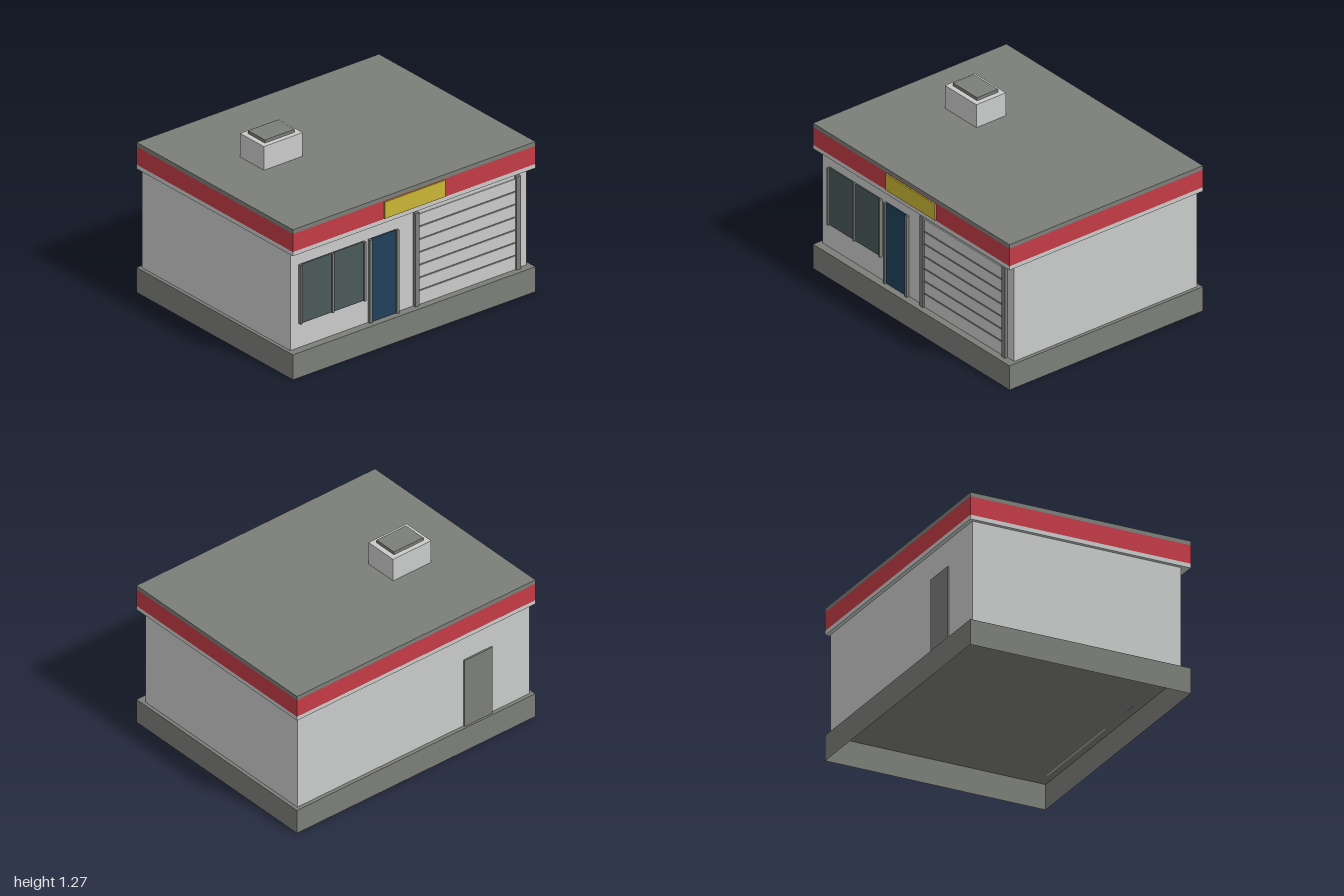
import * as THREE from 'three';

const paint = (name, color, extra = {}) => {
  const m = new THREE.MeshStandardMaterial({ color, ...extra });
  m.name = name;
  return m;
};

export function createModel() {
  const grey = paint('trim grey', 0x7c7e79, { side: THREE.DoubleSide });
  const light = paint('wall light grey', 0xc9cbca);
  const red = paint('fascia red', 0xc43b46);
  const yellow = paint('sign yellow', 0xcab535);
  const blue = paint('door blue', 0x21405b);
  const glass = paint('window glass', 0x4b5a59);

  const root = new THREE.Group();
  root.name = 'building';

  const group = (name) => {
    const g = new THREE.Group();
    g.name = name;
    root.add(g);
    return g;
  };

  // Box given by its [min, max] on each axis; open drops the underside
  const box = (parent, name, material, [x0, x1], [y0, y1], [z0, z1], open = false) => {
    const geo = new THREE.BoxGeometry(x1 - x0, y1 - y0, z1 - z0);
    if (open) {
      const index = Array.from(geo.index.array);
      index.splice(18, 6);
      geo.setIndex(index);
      geo.clearGroups();
    }
    const mesh = new THREE.Mesh(geo, material);
    mesh.name = name;
    mesh.position.set((x0 + x1) / 2, (y0 + y1) / 2, (z0 + z1) / 2);
    parent.add(mesh);
    return mesh;
  };

  const full = [-1, 1], depth = [-0.805, 0.795];
  const front = 0.737, back = -0.778;

  // Hollow plinth and walls
  box(root, 'plinth', grey, full, [0, 0.18], depth, true);
  box(root, 'walls', light, [-0.975, 0.975], [0.18, 0.89], [back, front], true);

  // Layered roof edge with sign board
  const roof = group('roof');
  box(roof, 'soffitBand', light, full, [0.89, 0.92], depth);
  box(roof, 'fascia', red, full, [0.92, 1.05], depth, true);
  box(roof, 'roofSlab', grey, full, [1.05, 1.08], depth, true);
  box(roof, 'signBoard', yellow, [-0.25, 0.25], [0.925, 1.045], [0.795, 0.805]);

  // Rooftop vent
  const vent = group('roofVent');
  box(vent, 'ventBody', light, [-0.613, -0.293], [1.08, 1.25], [-0.226, 0.018], true);
  box(vent, 'ventCap', grey, [-0.576, -0.33], [1.25, 1.272], [-0.191, -0.018], true);

  // Window with three upright bars
  const win = group('window');
  box(win, 'windowGlass', glass, [-0.9, -0.372], [0.353, 0.778], [front, 0.746]);
  for (const x of [-0.899, -0.636, -0.373])
    box(win, 'windowBar', grey, [x - 0.007, x + 0.007], [0.353, 0.778], [front, 0.759]);

  // Entrance door
  const door = group('entrance');
  box(door, 'entranceDoor', blue, [-0.32, -0.108], [0.18, 0.778], [front, 0.746]);
  for (const x of [-0.325, -0.103])
    box(door, 'entranceFrame', grey, [x - 0.009, x + 0.009], [0.18, 0.778], [front, 0.759]);

  // Roller door with side posts and evenly spaced seams
  const garage = group('garage');
  box(garage, 'rollerDoor', light, [0.07, 0.875], [0.18, 0.83], [front, 0.745]);
  for (let i = 0; i < 6; i++) {
    const y = 0.28 + i * 0.092;
    box(garage, 'rollerSeam', grey, [0.07, 0.875], [y - 0.005, y + 0.005], [front, 0.749]);
  }
  for (const x of [0.056, 0.892])
    box(garage, 'garagePost', grey, [x - 0.017, x + 0.017], [0.18, 0.85], [front, 0.759]);

  // Rear service door
  box(root, 'rearDoor', grey, [-0.655, -0.42], [0.18, 0.70], [-0.79, back]);

  return root;
}
